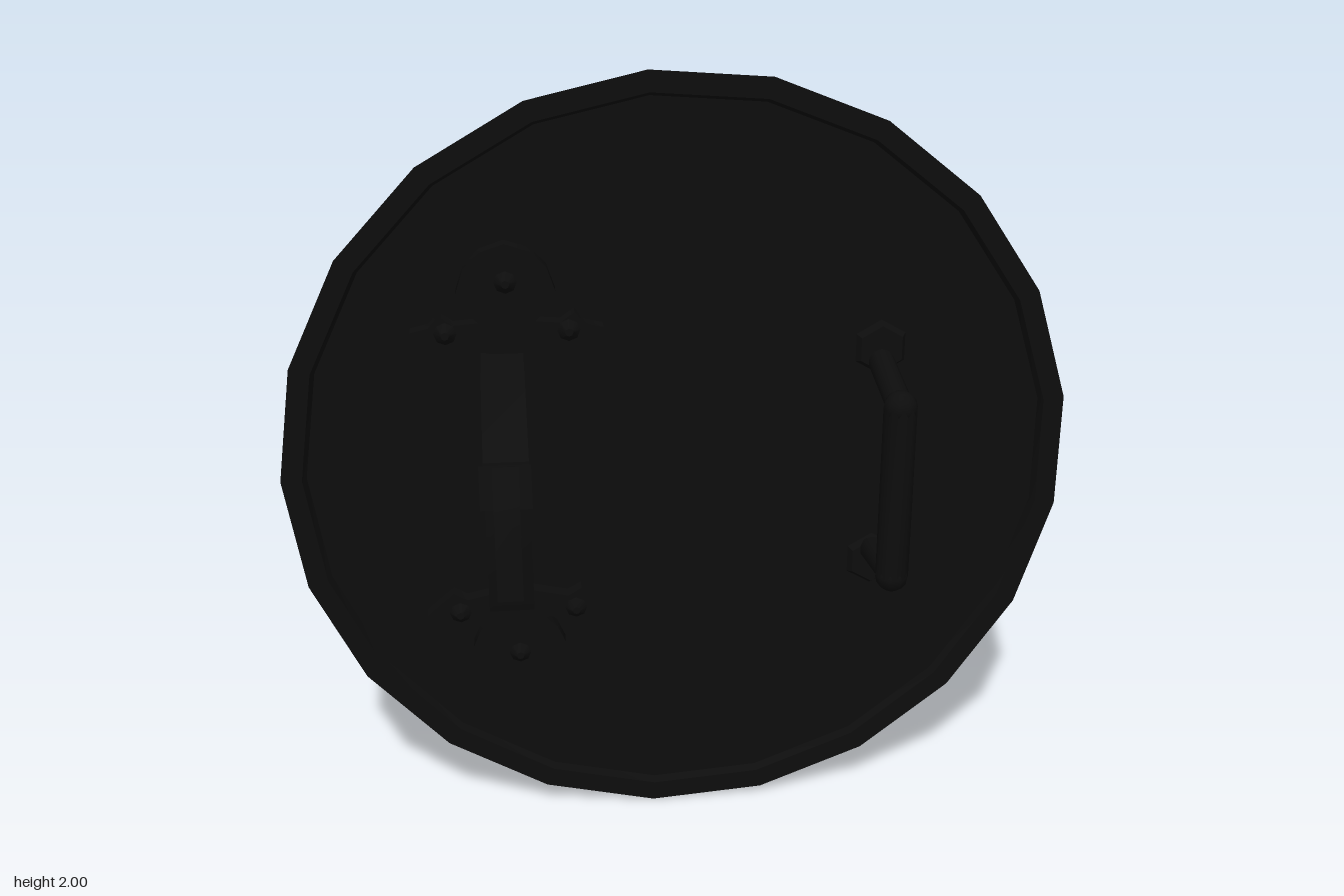
import * as THREE from 'three';
import { toCreasedNormals } from 'three/addons/utils/BufferGeometryUtils.js';

const SIDES = 21, FLOOR = -0.095;
const material = new THREE.MeshStandardMaterial({ color: 0x0d0d0d });
const V = (x, y) => new THREE.Vector2(x, y);

function add(parent, name, geometry, crease = 0.75) {
  const mesh = new THREE.Mesh(toCreasedNormals(geometry, crease), material);
  mesh.name = name;
  parent.add(mesh);
  return mesh;
}

// Disc turned around the z axis; profile points are [radius, z], from the back centre outwards
function turned(points) {
  const g = new THREE.LatheGeometry(points.map(([r, z]) => V(r, -z)).reverse(), SIDES, -Math.PI / 2);
  return g.rotateX(-Math.PI / 2);
}

// Side outline given as [z, y], extruded across x
function sideExtrude(points, width, x) {
  const g = new THREE.ExtrudeGeometry(new THREE.Shape(points.map(p => V(...p))), { depth: width, bevelEnabled: false });
  return g.rotateY(-Math.PI / 2).translate(x + width / 2, 0, 0);
}

// Straight round bar between two points
function rod(a, b, r) {
  const d = b.clone().sub(a);
  const g = new THREE.CylinderGeometry(r, r, d.length(), 10);
  g.applyQuaternion(new THREE.Quaternion().setFromUnitVectors(new THREE.Vector3(0, 1, 0), d.normalize()));
  return g.translate((a.x + b.x) / 2, (a.y + b.y) / 2, (a.z + b.z) / 2);
}

// Strap mount with a round lobe above a pointed crossbar
function mountPlate() {
  const group = new THREE.Group();
  const half = [[0.04, 0.325], [0.13, 0.345], [0.165, 0.325], [0.195, 0.35], [0.235, 0.385], [0.19, 0.395], [0.165, 0.425],
    [0.13, 0.4], [0.07, 0.405], [0.1, 0.435], [0.12, 0.48], [0.1, 0.54], [0.06, 0.58], [0.03, 0.59]];
  const outline = [...half, [0, 0.6], ...half.map(([x, y]) => [-x, y]).reverse()];
  const plate = new THREE.ExtrudeGeometry(new THREE.Shape(outline.map(p => V(...p))), { depth: 0.04, bevelEnabled: false });
  add(group, 'mountPlate', plate.translate(0, 0, FLOOR));
  for (const [x, y] of [[0, 0.505], [-0.15, 0.38], [0.15, 0.38]]) {
    add(group, 'rivet', new THREE.CylinderGeometry(0.01, 0.03, 0.022, 8).rotateX(Math.PI / 2).translate(x, y, -0.046));
  }
  return group;
}

export function createModel() {
  const root = new THREE.Group();
  root.name = 'roundShield';

  // Shield body, rim and boss
  const shield = new THREE.Group();
  shield.name = 'shield';
  shield.position.set(0.005, 1, 0);
  root.add(shield);
  add(shield, 'body', turned([[0, -0.3], [0.25, -0.292], [0.4, -0.28], [0.6, -0.24], [0.8, -0.19]]));
  add(shield, 'rim', turned([[0.78, -0.185], [0.79, -0.197], [0.905, -0.195], [0.965, -0.172], [1.003, -0.075], [0.95, -0.075], [0.94, FLOOR], [0, FLOOR]]));
  add(shield, 'bossRing', turned([[0.17, -0.315], [0.19, -0.317], [0.235, -0.315], [0.262, -0.295], [0.262, -0.27]]));
  add(shield, 'boss', turned([[0, -0.4], [0.07, -0.39], [0.125, -0.377], [0.165, -0.345], [0.185, -0.31]]));

  // Arm strap with its buckle and loose end
  const strap = new THREE.Group();
  strap.name = 'armStrap';
  root.add(strap);
  const outer = [[FLOOR, 0.315], [0.115, 0.285], [0.31, 0.19], [0.343, 0]];
  const inner = [[FLOOR, 0.262], [0.1, 0.238], [0.265, 0.155], [0.298, 0]];
  const arch = side => [...side, ...side.slice(0, -1).reverse().map(([z, y]) => [z, -y])].map(([z, y]) => [z, y + 1]);
  add(strap, 'band', sideExtrude([...arch(outer), ...arch(inner).reverse()], 0.105, -0.435), 0.6);
  add(strap, 'buckle', sideExtrude([[0.28, 1.16], [0.315, 1.185], [0.352, 1.09], [0.315, 1.08]], 0.12, -0.438), 0.6);
  add(strap, 'looseEnd', sideExtrude([[0.3, 1.18], [0.325, 1.185], [0.365, 1.11], [0.385, 1.06], [0.4, 0.88],
    [0.386, 0.88], [0.37, 1.05], [0.35, 1.09]], 0.06, -0.437), 0.6);

  // Matching mounts above and below
  for (const turn of [0, Math.PI]) {
    const mount = mountPlate();
    mount.name = turn ? 'lowerMount' : 'upperMount';
    mount.position.set(-0.42, 1, 0);
    mount.rotation.z = turn;
    root.add(mount);
  }

  // Hand grip
  const grip = new THREE.Group();
  grip.name = 'handGrip';
  root.add(grip);
  const X = 0.515;
  const top = new THREE.Vector3(X, 1.225, 0.15), bottom = new THREE.Vector3(X, 0.775, 0.15);
  add(grip, 'gripBar', rod(top, bottom, 0.041));
  for (const s of [1, -1]) {
    const corner = s > 0 ? top : bottom;
    const foot = new THREE.Vector3(X, 1 + s * 0.265, FLOOR);
    add(grip, 'gripLeg', rod(foot, corner, 0.033));
    add(grip, 'gripCorner', new THREE.SphereGeometry(0.042, 10, 8).translate(corner.x, corner.y, corner.z), 1.2);
    const base = new THREE.CylinderGeometry(0.06, 0.072, 0.018, 6).rotateX(Math.PI / 2);
    add(grip, 'gripBase', base.translate(X, 1 + s * 0.295, FLOOR + 0.009));
  }
  return root;
}
